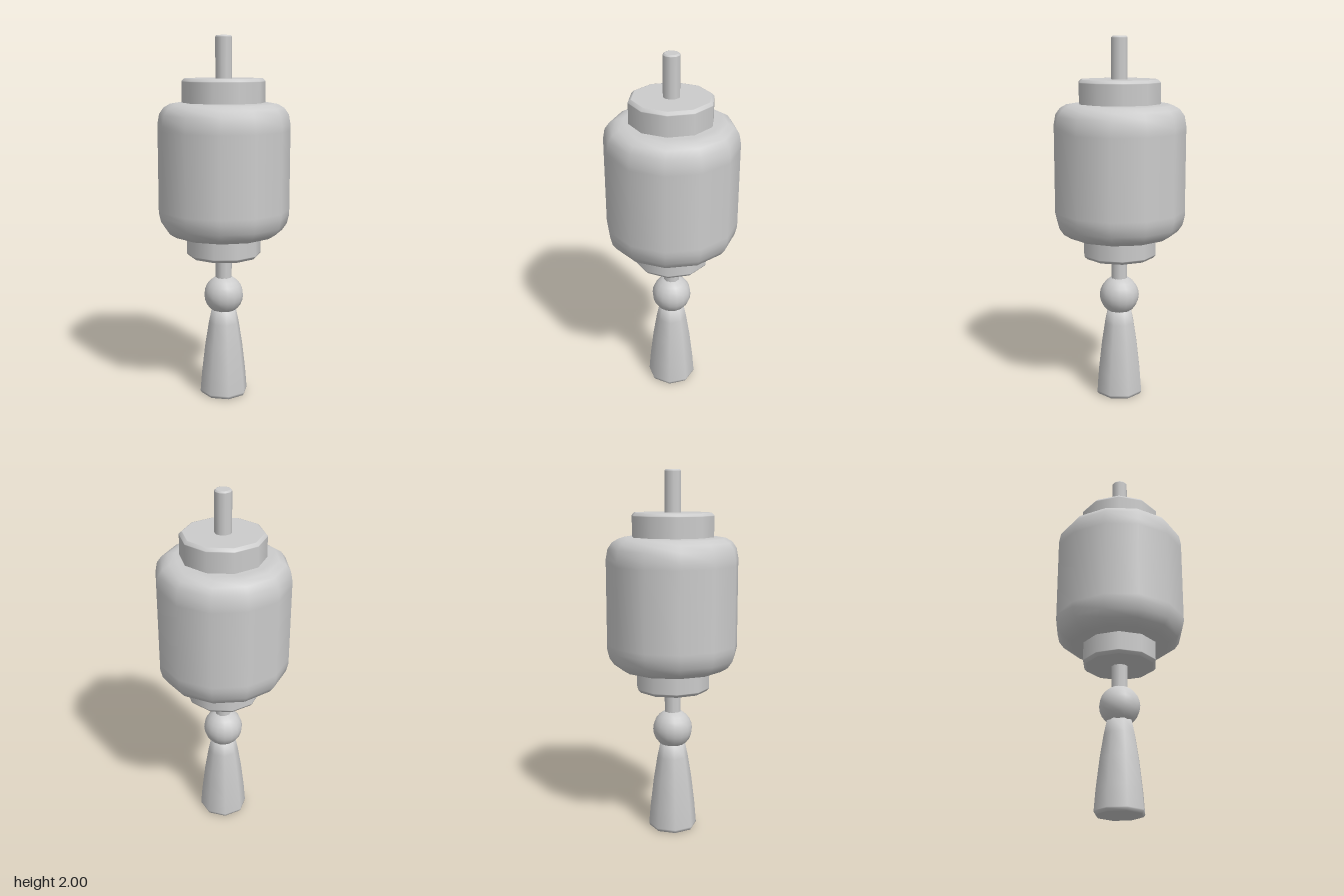
import * as THREE from 'three';

const material = new THREE.MeshStandardMaterial({ color: 0xcccccc });

// Turned part: profile of [radius, y] from bottom to top, a corner on the x axis
function turned(name, sides, profile) {
  const points = profile.map(([r, y]) => new THREE.Vector2(r, y));
  const mesh = new THREE.Mesh(new THREE.LatheGeometry(points, sides, Math.PI / 2), material);
  mesh.name = name;
  return mesh;
}

// Cylinder profile with small bevels; the rings next to them keep the flats flat
function bevelled(radius, y0, y1, bevel) {
  const inner = radius - bevel, ring = inner - bevel * 0.3, s = bevel * 0.3;
  return [
    [0, y0], [ring, y0], [inner, y0], [radius, y0 + bevel], [radius, y0 + bevel + s],
    [radius, y1 - bevel - s], [radius, y1 - bevel], [inner, y1], [ring, y1], [0, y1],
  ];
}

export function createModel() {
  const model = new THREE.Group();
  model.name = 'hangingLantern';

  // Lantern body with rounded shoulders
  model.add(turned('lanternBody', 12, [
    [0, 0.925], [0.25, 0.925], [0.285, 0.93], [0.322, 0.953], [0.348, 0.99], [0.36, 1.04],
    [0.36, 1.07], [0.36, 1.5],
    [0.36, 1.53], [0.35, 1.585], [0.325, 1.62], [0.29, 1.64], [0.25, 1.647], [0, 1.647],
  ]));

  // Caps above and below the body
  model.add(turned('topCap', 10, bevelled(0.225, 1.62, 1.775, 0.014)));
  model.add(turned('bottomCap', 10, bevelled(0.205, 0.805, 0.95, 0.014)));

  // Cord running through the lantern
  model.add(turned('cord', 10, bevelled(0.045, 0.6, 2, 0.007)));

  // Round bead
  const bead = new THREE.Mesh(new THREE.SphereGeometry(0.11, 16, 12), material);
  bead.name = 'bead';
  bead.position.y = 0.58;
  model.add(bead);

  // Flared tassel
  model.add(turned('tassel', 8, [
    [0, 0], [0.122, 0], [0.127, 0.002], [0.135, 0.013], [0.135, 0.02],
    [0.126, 0.13], [0.107, 0.29], [0.086, 0.42], [0.07, 0.495], [0, 0.52],
  ]));

  return model;
}
